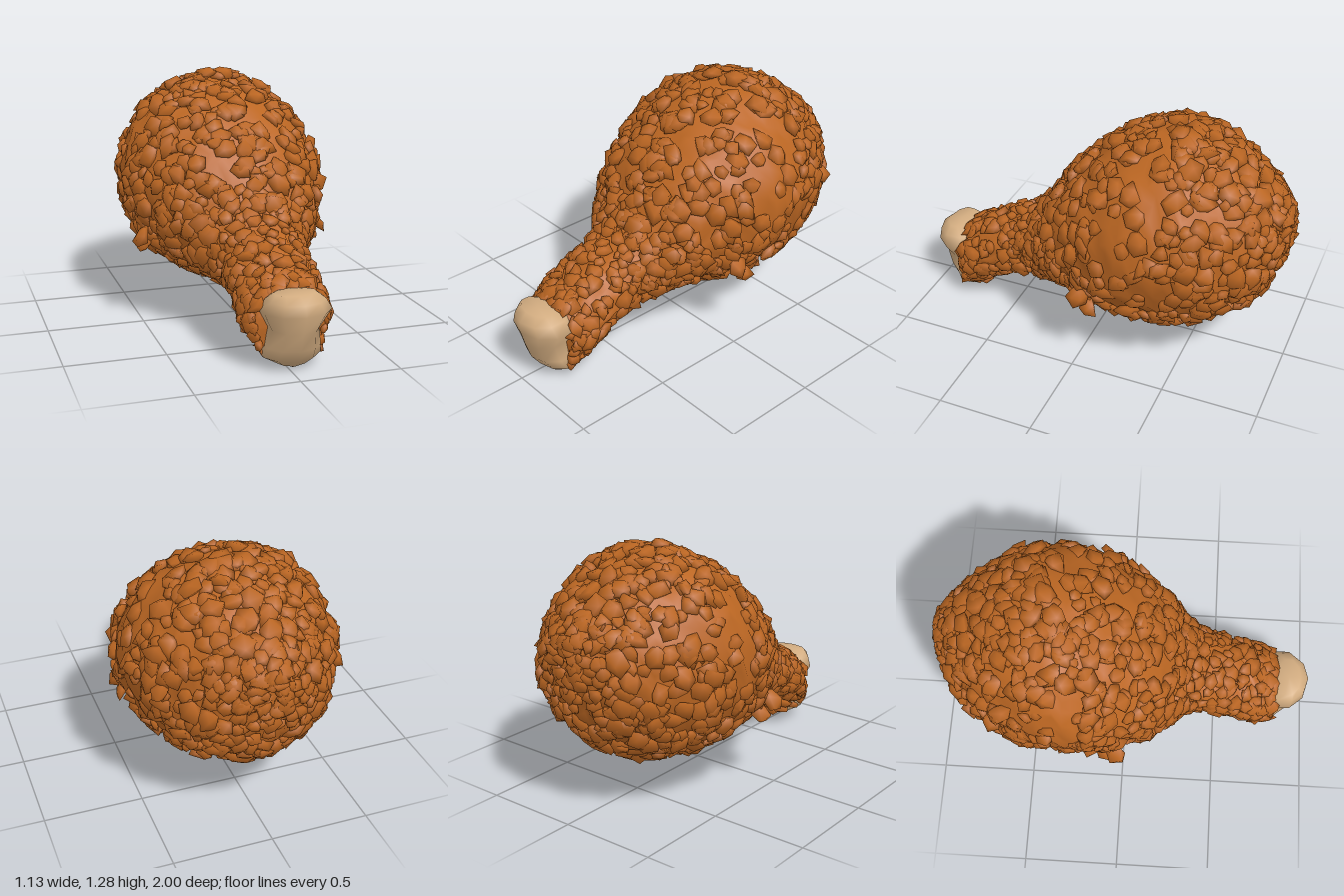
import * as THREE from 'three';
import { mergeGeometries, mergeVertices } from 'three/addons/utils/BufferGeometryUtils.js';

// Small seeded random generator
function makeRandom(seed) {
  return () => {
    seed = (seed * 1664525 + 1013904223) >>> 0;
    return seed / 4294967296;
  };
}

// Skin closed rings of equal length and close both ends
function loft(rings) {
  const n = rings[0].length, pos = [], idx = [];
  rings.forEach(r => r.forEach(p => pos.push(p.x, p.y, p.z)));
  for (let i = 0; i < rings.length - 1; i++)
    for (let j = 0; j < n; j++) {
      const a = i * n + j, b = i * n + (j + 1) % n;
      idx.push(a, a + n, b, b, a + n, b + n);
    }
  [rings[0], rings[rings.length - 1]].forEach((r, end) => {
    const mid = r.reduce((s, p) => s.add(p), new THREE.Vector3()).divideScalar(n);
    const c = pos.length / 3, base = end ? (rings.length - 1) * n : 0;
    pos.push(mid.x, mid.y, mid.z);
    for (let j = 0; j < n; j++) {
      const p = base + j, q = base + (j + 1) % n;
      end ? idx.push(c, q, p) : idx.push(c, p, q);
    }
  });
  const g = new THREE.BufferGeometry();
  g.setAttribute('position', new THREE.Float32BufferAttribute(pos, 3));
  g.setIndex(idx);
  g.computeVertexNormals();
  return g;
}

// Meat sections along the leg: z, bottom, top, half width
const SECTIONS = [
  [0.81, 0.07, 0.41, 0.17], [0.72, 0.11, 0.46, 0.20], [0.60, 0.19, 0.52, 0.205],
  [0.42, 0.25, 0.62, 0.205], [0.30, 0.27, 0.72, 0.25], [0.18, 0.28, 0.91, 0.36],
  [0.00, 0.26, 1.09, 0.46], [-0.20, 0.23, 1.21, 0.525], [-0.40, 0.23, 1.255, 0.525],
  [-0.60, 0.28, 1.20, 0.46], [-0.78, 0.39, 1.08, 0.34], [-0.88, 0.52, 1.00, 0.235],
  [-0.94, 0.68, 0.94, 0.12], [-0.955, 0.78, 0.88, 0.04],
];
const heights = new THREE.CatmullRomCurve3(
  SECTIONS.map(s => new THREE.Vector3(s[0], s[1], s[2])), false, 'catmullrom', 0.5);
const widths = new THREE.CatmullRomCurve3(
  SECTIONS.map(s => new THREE.Vector3(s[0], s[3], s[0] > 0.25 ? 0.02 : 0)), false, 'catmullrom', 0.5);

function meatPoint(t, a) {
  const h = heights.getPoint(t), w = widths.getPoint(t);
  return new THREE.Vector3(
    w.z + w.y * Math.cos(a),
    (h.y + h.z) / 2 + (h.z - h.y) / 2 * Math.sin(a),
    h.x);
}

function meatNormal(t, a) {
  const e = 0.004;
  const along = meatPoint(Math.min(1, t + e), a).sub(meatPoint(Math.max(0, t - e), a));
  const around = meatPoint(t, a + e).sub(meatPoint(t, a - e));
  return along.cross(around).normalize();
}

// Craggy body of the fried meat
function makeBody(rand) {
  const rings = [], R = 54, N = 52;
  for (let i = 0; i <= R; i++) {
    const ring = [], t = i / R;
    for (let j = 0; j < N; j++) {
      const a = (j + (i % 2) * 0.5 + (rand() - 0.5) * 0.5) / N * Math.PI * 2;
      const p = meatPoint(t, a);
      const lump = 0.008 * Math.sin(p.x * 19 + p.y * 13) * Math.cos(p.z * 17 - p.y * 9);
      ring.push(p.addScaledVector(meatNormal(t, a), lump + (rand() - 0.5) * 0.02));
    }
    rings.push(ring);
  }
  return loft(rings);
}

// One irregular flattened crumb, y pointing away from the meat
function makeCrumb(rand, size) {
  let g = new THREE.IcosahedronGeometry(1, 0);
  g.deleteAttribute('uv');
  g.deleteAttribute('normal');
  g = mergeVertices(g);
  const p = g.attributes.position;
  for (let i = 0; i < p.count; i++) {
    const k = 0.65 + rand() * 0.7;
    p.setXYZ(i, p.getX(i) * k * size, p.getY(i) * k * size * 0.55, p.getZ(i) * k * size);
  }
  g.rotateY(rand() * Math.PI * 2);
  g.rotateX((rand() - 0.5) * 0.9);
  g.computeVertexNormals();
  return g;
}

// Crumbs spread evenly over the surface
function makeCrumbs(rand) {
  const list = [], up = new THREE.Vector3(0, 1, 0), q = new THREE.Quaternion();
  while (list.length < 1250) {
    const t = rand(), a = rand() * Math.PI * 2;
    const h = heights.getPoint(t), w = widths.getPoint(t).y;
    if (rand() > (w + (h.z - h.y) / 2) / 1.04 + 0.06) continue;
    const p = meatPoint(t, a), n = meatNormal(t, a);
    // Smoother band on both flanks
    const band = Math.abs(p.z + 0.32) < 0.13 && Math.abs(n.x) > 0.6 && p.y > 0.45;
    if (band && rand() < 0.7) continue;
    const size = (0.034 + 0.03 * rand()) * (w < 0.23 ? 0.85 : 1);
    const g = makeCrumb(rand, size);
    g.applyQuaternion(q.setFromUnitVectors(up, n));
    p.addScaledVector(n, band ? -0.005 : 0.004 + rand() * 0.008);
    g.translate(p.x, p.y, p.z);
    list.push(g);
  }
  return mergeGeometries(list);
}

// Larger knobs of batter low on both flanks and under the shank
function makeKnobs(rand) {
  const spots = [
    [0.48, 0.49, -0.03, 0.06], [-0.49, 0.49, -0.03, 0.06], [0.47, 0.42, -0.08, 0.055],
    [-0.47, 0.42, -0.08, 0.055], [0.51, 0.78, -0.38, 0.055], [-0.52, 0.82, -0.38, 0.055],
    [0.44, 0.78, -0.67, 0.055], [-0.44, 0.78, -0.67, 0.055], [0.02, 0.07, 0.75, 0.06],
    [-0.06, 0.12, 0.71, 0.055], [0.1, 0.12, 0.71, 0.055], [0.0, 0.9, -0.94, 0.05],
    [-0.05, 1.28, -0.34, 0.06], [0.06, 1.27, -0.4, 0.06],
  ];
  return mergeGeometries(spots.map(([x, y, z, s]) =>
    makeCrumb(rand, s).rotateZ(-x * 2).translate(x, y, z)));
}

// Bone end: y, centre x, half width, back z, front z
function makeBone() {
  const levels = [
    [0.42, 0.01, 0.10, 0.82, 0.95], [0.385, 0.02, 0.135, 0.74, 0.995],
    [0.33, 0.025, 0.165, 0.70, 1.0], [0.24, 0.02, 0.115, 0.70, 0.975],
    [0.15, 0.02, 0.13, 0.70, 0.945], [0.08, 0.02, 0.14, 0.72, 0.895],
    [0.04, 0.03, 0.085, 0.76, 0.845],
  ];
  return loft(levels.map(([y, cx, w, back, front]) => {
    const ring = [];
    for (let j = 0; j < 10; j++) {
      const a = j / 10 * Math.PI * 2;
      ring.push(new THREE.Vector3(
        cx + w * Math.sin(a) / 0.951,
        y + (y < 0.1 ? 0.02 * Math.sin(a) * Math.sin(a) : 0),
        (back + front) / 2 + (front - back) / 2 * Math.cos(a)));
    }
    return ring;
  }));
}

export function createModel() {
  const group = new THREE.Group();
  const rand = makeRandom(71);
  const crust = new THREE.MeshStandardMaterial({ color: 0xbb6622 });
  crust.name = 'fried crust';
  const boneColour = new THREE.MeshStandardMaterial({ color: 0xd2ac80 });
  boneColour.name = 'bone';
  const add = (name, geometry, material) => {
    const mesh = new THREE.Mesh(geometry, material);
    mesh.name = name;
    group.add(mesh);
  };
  add('meat', makeBody(rand), crust);
  add('crumbs', makeCrumbs(rand), crust);
  add('batterKnobs', makeKnobs(rand), crust);
  add('boneEnd', makeBone(), boneColour);
  return group;
}
